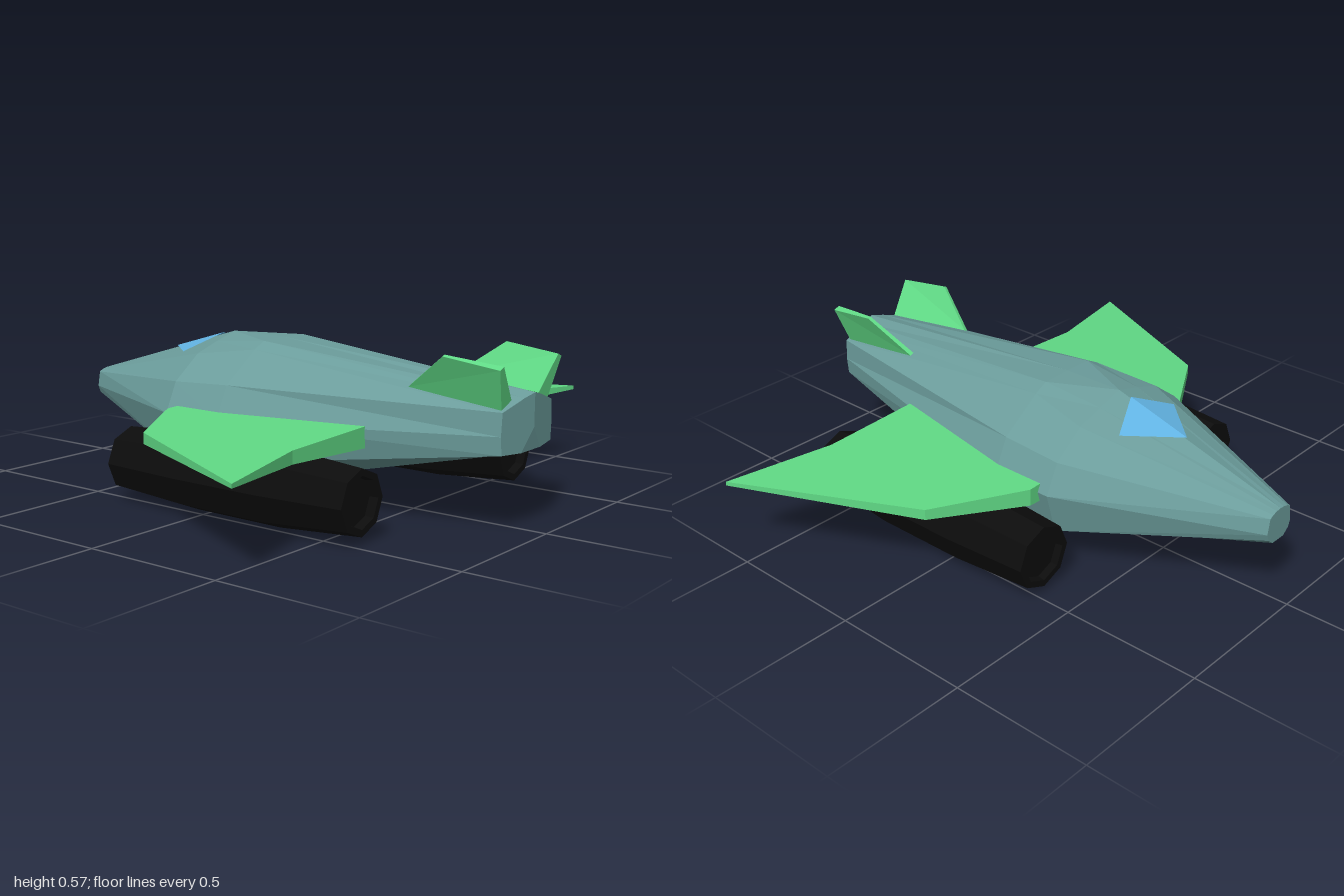
import * as THREE from 'three';

const mat = (name, color, extra = {}) => {
  const m = new THREE.MeshStandardMaterial({ color, flatShading: true, ...extra });
  m.name = name;
  return m;
};

// Unshared triangles from a list of corner vectors
function meshFrom(name, corners, material) {
  const g = new THREE.BufferGeometry().setFromPoints(corners);
  g.computeVertexNormals();
  const m = new THREE.Mesh(g, material);
  m.name = name;
  return m;
}

const V = (x, y, z) => new THREE.Vector3(x, y, z);

// Tapered plate: each point is [position, half-thickness vector]; side -1 mirrors it in z
function plate(name, points, side, material) {
  const list = points.map(([p, t]) => [V(p.x, p.y, p.z * side), V(t.x, t.y, t.z * side)]);
  if (side < 0) list.reverse().unshift(list.pop()); // keeps the fan start first
  const up = list.map(([p, t]) => p.clone().add(t));
  const down = list.map(([p, t]) => p.clone().sub(t));
  const out = [];
  const n = list.length;
  for (let i = 1; i < n - 1; i++) {
    out.push(up[0], up[i], up[i + 1], down[0], down[i + 1], down[i]);
  }
  for (let i = 0; i < n; i++) {
    const j = (i + 1) % n;
    out.push(down[i], down[j], up[j], down[i], up[j], up[i]);
  }
  return meshFrom(name, out, material);
}

// Hull lofted along x from half sections [z, y], listed top to bottom
function buildHull(material) {
  const stations = [
    { x: -0.945, taper: 0, half: [[0, 0.345], [0.02, 0.343], [0.04, 0.338], [0.055, 0.33], [0.065, 0.275], [0.055, 0.25], [0.03, 0.23]] },
    { x: -0.29, taper: 0, half: [[0, 0.54], [0.1, 0.512], [0.2, 0.48], [0.315, 0.395], [0.365, 0.29], [0.325, 0.14], [0.12, 0.045]] },
    { x: -0.06, taper: 0, half: [[0, 0.538], [0.11, 0.535], [0.16, 0.51], [0.31, 0.405], [0.365, 0.29], [0.325, 0.14], [0.12, 0.04]] },
    { x: 0.945, taper: 0.16, half: [[0, 0.45], [0.05, 0.438], [0.09, 0.425], [0.155, 0.405], [0.16, 0.33], [0.155, 0.27], [0.06, 0.265]] },
  ];
  const rings = stations.map(({ x, taper, half }) => {
    const mirrored = half.slice(1).reverse().map(([z, y]) => [-z, y]);
    return [...half, ...mirrored].map(([z, y]) => V(x - taper * Math.abs(z), y, z));
  });
  const out = [];
  const n = rings[0].length;
  for (let i = 0; i < rings.length - 1; i++) {
    const a = rings[i], b = rings[i + 1];
    for (let j = 0; j < n; j++) {
      const k = (j + 1) % n;
      // diagonals mirror about the centre line
      if (j < n / 2) out.push(a[j], a[k], b[k], a[j], b[k], b[j]);
      else out.push(a[j], a[k], b[j], a[k], b[k], b[j]);
    }
  }
  // nose and tail caps
  const nose = V(-0.945, 0.29, 0), tail = V(0.945, 0.34, 0);
  for (let j = 0; j < n; j++) {
    const k = (j + 1) % n;
    out.push(nose, rings[0][k], rings[0][j]);
    out.push(tail, rings[3][j], rings[3][k]);
  }
  return meshFrom('hull', out, material);
}

export function createModel() {
  const hullMat = mat('hull teal', 0x6b9c9b);
  const wingMat = mat('wing green', 0x60d985);
  const engineMat = mat('engine black', 0x0c0c0c);
  const glassMat = mat('canopy blue', 0x62b4e4, { side: THREE.DoubleSide });

  const ship = new THREE.Group();
  ship.name = 'spaceship';
  ship.add(buildHull(hullMat));

  // folded diamond canopy lying just above the hull
  const front = V(-0.575, 0.462, 0), back = V(-0.34, 0.531, 0);
  const left = V(-0.41, 0.47, 0.147), right = V(-0.41, 0.47, -0.147);
  ship.add(meshFrom('canopy', [front, left, back, front, back, right], glassMat));

  // wing outline as [x, z], starting at the inward corner of the trailing edge
  const wingOutline = [[0.475, 0.62], [0.475, 0.25], [-0.25, 0.25], [-0.25, 0.4], [-0.07, 0.7], [0.565, 1]];
  const wing = wingOutline.map(([x, z]) => [
    V(x, 0.286, z),
    V(0, 0.036 - 0.029 * (z - 0.25) / 0.75, 0),
  ]);

  // tail fin corners as [x, y, z, half thickness]
  const fin = [
    [0.57, 0.45, 0.14, 0.008],
    [0.91, 0.42, 0.115, 0.032],
    [0.93, 0.545, 0.182, 0.012],
    [0.73, 0.568, 0.195, 0.006],
  ].map(([x, y, z, t]) => [V(x, y, z), V(0, -0.4 * t, 0.92 * t)]);

  // eight-sided engine pod with shallow recessed ends, as [radius, x]
  const pod = [[0, -0.34], [0.085, -0.34], [0.09, -0.365], [0.113, -0.365], [0.132, -0.05], [0.133, 0.3],
    [0.108, 0.62], [0.085, 0.62], [0.08, 0.59], [0, 0.59]].map(([r, x]) => new THREE.Vector2(r, x));

  for (const side of [1, -1]) {
    const label = side > 0 ? 'left' : 'right';
    ship.add(plate(label + 'Wing', wing, side, wingMat));
    ship.add(plate(label + 'TailFin', fin, side, wingMat));
    const engine = new THREE.Mesh(new THREE.LatheGeometry(pod, 8), engineMat);
    engine.name = label + 'Engine';
    engine.rotation.z = -Math.PI / 2;
    engine.position.set(0, 0.137, 0.463 * side);
    ship.add(engine);
  }
  return ship;
}
